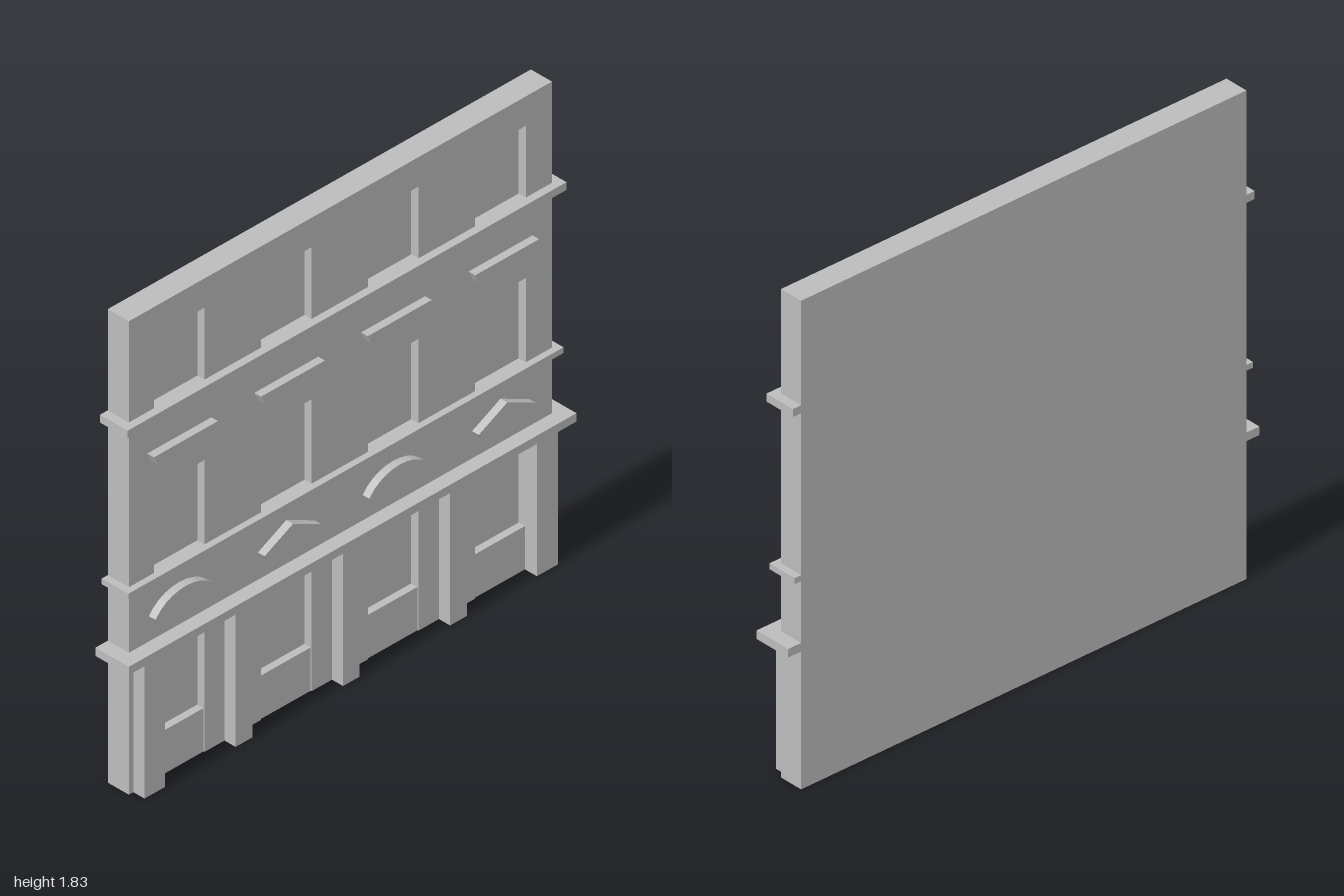
import * as THREE from 'three';

const stone = new THREE.MeshStandardMaterial({ color: 0xbcbcbc });
stone.name = 'grey stone';

const FACE = 0.02;     // wall surface, the street side faces +x
const BACK = -0.075;
const RECESS = -0.012; // plane of the window panes
const BAYS = [0.72, 0.242, -0.235, -0.715];
const HALF = 0.113;    // half width of an opening

export function createModel() {
  const group = new THREE.Group();

  const add = (name, geometry) => {
    const mesh = new THREE.Mesh(geometry, stone);
    mesh.name = name;
    group.add(mesh);
  };
  // Box given by its limits
  const box = (name, x0, x1, y0, y1, z0, z1) => {
    const g = new THREE.BoxGeometry(x1 - x0, y1 - y0, z1 - z0);
    g.translate((x0 + x1) / 2, (y0 + y1) / 2, (z0 + z1) / 2);
    add(name, g);
  };
  // Shape drawn as seen from the street (u = -z, v = y), pushed out along +x
  const relief = (name, shape, x0, x1) => {
    const g = new THREE.ExtrudeGeometry(shape, { depth: x1 - x0, bevelEnabled: false, curveSegments: 10 });
    g.rotateY(Math.PI / 2);
    g.translate(x0, 0, 0);
    add(name, g);
  };
  const polygon = (pts) => new THREE.Shape(pts.map(([u, v]) => new THREE.Vector2(u, v)));

  // Solid back of the wall, which also closes the openings
  box('backWall', BACK, RECESS, 0, 1.825, -0.945, 0.945);

  // Front layer: notched at the doors, pierced by two rows of windows
  const outline = [[-0.945, 0]];
  for (const z of BAYS) {
    const a = -z - HALF, b = -z + HALF;
    outline.push([a, 0], [a, 0.515], [b, 0.515], [b, 0]);
  }
  outline.push([0.945, 0], [0.945, 1.825], [-0.945, 1.825]);
  const front = polygon(outline);
  for (const z of BAYS) {
    for (const [v0, v1] of [[0.79, 1.125], [1.42, 1.712]]) {
      const a = -z - HALF, b = -z + HALF;
      front.holes.push(polygon([[a, v0], [a, v1], [b, v1], [b, v0]]));
    }
  }
  relief('frontWall', front, RECESS, FACE);

  // Ledges wrapping the front and both ends
  box('shopCornice', BACK, 0.075, 0.515, 0.547, -1, 1);
  box('middleLedge', BACK, 0.045, 0.778, 0.8, -0.972, 0.972);
  box('upperLedge', BACK, 0.05, 1.405, 1.435, -0.98, 0.98);

  // Ground floor pilasters
  for (const [z0, z1] of [[0.833, 0.925], [0.443, 0.518], [-0.035, 0.038], [-0.515, -0.44], [-0.922, -0.828]]) {
    box('pilaster', FACE, 0.07, 0, 0.515, z0, z1);
  }

  BAYS.forEach((z, i) => {
    const u = -z;
    // Low panel under each shop window
    box('stallPanel', RECESS, 0.016, 0, 0.167, z - HALF, z + HALF);

    // Flat hood over each middle window
    relief('windowHood', polygon([[u - 0.123, 1.235], [u + 0.123, 1.235],
      [u + 0.143, 1.275], [u - 0.143, 1.275]]), FACE, 0.05);

    // Curved and pointed pediments in turn
    const p = new THREE.Shape();
    if (i % 2 === 0) {
      p.moveTo(u - 0.115, 0.622);
      p.lineTo(u + 0.115, 0.622);
      p.lineTo(u + 0.136, 0.645);
      p.bezierCurveTo(u + 0.075, 0.732, u - 0.075, 0.732, u - 0.136, 0.645);
    } else {
      p.moveTo(u - 0.105, 0.622);
      p.lineTo(u + 0.105, 0.622);
      p.lineTo(u + 0.127, 0.652);
      p.lineTo(u, 0.715);
      p.lineTo(u - 0.127, 0.652);
    }
    p.closePath();
    relief(i % 2 ? 'pointedPediment' : 'curvedPediment', p, FACE, 0.05);
  });

  return group;
}
